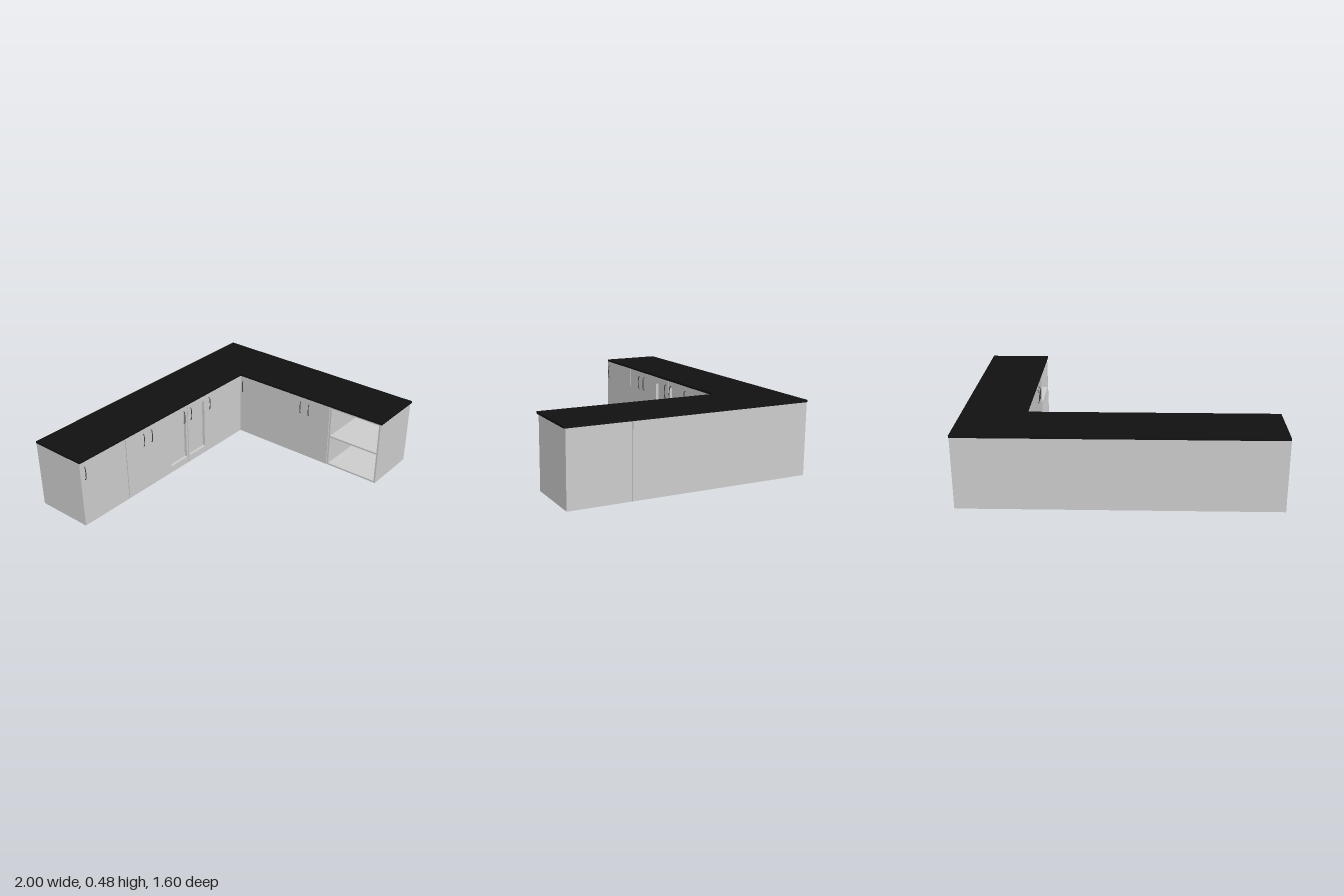
import * as THREE from 'three';

const grey = new THREE.MeshStandardMaterial({ color: 0xcccccc });
const black = new THREE.MeshStandardMaterial({ color: 0x111111 });
const dark = new THREE.MeshStandardMaterial({ color: 0x444444 });

const BODY = 0.463, TOP = 0.477, FRONT = 0.02;

// Box given by its lower and upper corners
function box(parent, name, [x0, y0, z0], [x1, y1, z1]) {
  const mesh = new THREE.Mesh(new THREE.BoxGeometry(x1 - x0, y1 - y0, z1 - z0), grey);
  mesh.position.set((x0 + x1) / 2, (y0 + y1) / 2, (z0 + z1) / 2);
  mesh.name = name;
  parent.add(mesh);
}

// Rounded rectangular hole
function roundedHole(x0, y0, x1, y1, r) {
  const p = new THREE.Path();
  p.absarc(x0 + r, y0 + r, r, Math.PI, 1.5 * Math.PI);
  p.absarc(x1 - r, y0 + r, r, 1.5 * Math.PI, 2 * Math.PI);
  p.absarc(x1 - r, y1 - r, r, 0, 0.5 * Math.PI);
  p.absarc(x0 + r, y1 - r, r, 0.5 * Math.PI, Math.PI);
  p.closePath();
  return p;
}

// Front slab in the xy plane, with optional recessed panels [x0, x1]
function frontPanel(parent, x0, x1, recesses = []) {
  const s = new THREE.Shape();
  s.moveTo(x0, 0).lineTo(x1, 0).lineTo(x1, BODY).lineTo(x0, BODY).closePath();
  for (const [a, b] of recesses) s.holes.push(roundedHole(a, 0.05, b, 0.42, 0.008));
  const geometry = new THREE.ExtrudeGeometry(s, { depth: FRONT, bevelEnabled: false, curveSegments: 4 });
  const mesh = new THREE.Mesh(geometry, grey);
  mesh.name = 'doorFront';
  parent.add(mesh);
}

// Slim bow handle standing off the front
function handle(parent, x) {
  const path = new THREE.CatmullRomCurve3([
    [0.335, 0], [0.341, 0.008], [0.355, 0.011], [0.41, 0.011], [0.424, 0.008], [0.43, 0],
  ].map(([y, z]) => new THREE.Vector3(x, y, FRONT + z)));
  const mesh = new THREE.Mesh(new THREE.TubeGeometry(path, 20, 0.003, 6), dark);
  mesh.name = 'handle';
  parent.add(mesh);
}

export function createModel() {
  const model = new THREE.Group();

  // L-shaped worktop
  const outline = new THREE.Shape();
  outline.moveTo(-1, 0.8).lineTo(-1, 0.393).lineTo(0.588, 0.393)
    .lineTo(0.588, -0.8).lineTo(1, -0.8).lineTo(1, 0.8).closePath();
  const top = new THREE.Mesh(
    new THREE.ExtrudeGeometry(outline, { depth: TOP - BODY, bevelEnabled: false }), black);
  top.rotation.x = -Math.PI / 2;
  top.position.y = BODY;
  top.name = 'worktop';
  model.add(top);

  // Cabinet bodies
  box(model, 'backRunBody', [-1, 0, -0.797], [0.998, BODY, -0.415]);
  box(model, 'sideRunBody', [0.612, 0, -0.415], [0.998, BODY, 0.388]);

  // Fronts and handles of the back run
  const back = new THREE.Group();
  back.name = 'backRunFronts';
  back.position.z = -0.415;
  frontPanel(back, -1, -0.608);
  frontPanel(back, -0.602, -0.008, [[-0.187, -0.025]]);
  frontPanel(back, -0.002, 0.592, [[0.01, 0.173]]);
  for (const x of [-0.965, -0.445, -0.37, -0.045, 0.025, 0.225]) handle(back, x);
  model.add(back);

  // Fronts and handles of the side run, facing -x
  const side = new THREE.Group();
  side.name = 'sideRunFronts';
  side.position.x = 0.612;
  side.rotation.y = -Math.PI / 2;
  frontPanel(side, -0.395, 0.388);
  for (const z of [-0.37, 0.15, 0.22]) handle(side, z);
  model.add(side);

  // Open shelf unit at the end of the side run
  const shelf = new THREE.Group();
  shelf.name = 'openShelfUnit';
  const t = 0.012, x0 = 0.594, x1 = 0.998, z0 = 0.392, z1 = 0.79;
  for (const z of [z0, z1 - t]) box(shelf, 'shelfSide', [x0, 0, z], [x1, BODY, z + t]);
  for (const y of [0, 0.225, BODY - t]) {
    box(shelf, 'shelfBoard', [x0, y, z0 + t], [x1 - t, y + t, z1 - t]);
  }
  box(shelf, 'shelfBack', [x1 - t, 0, z0 + t], [x1, BODY, z1 - t]);
  model.add(shelf);

  return model;
}
